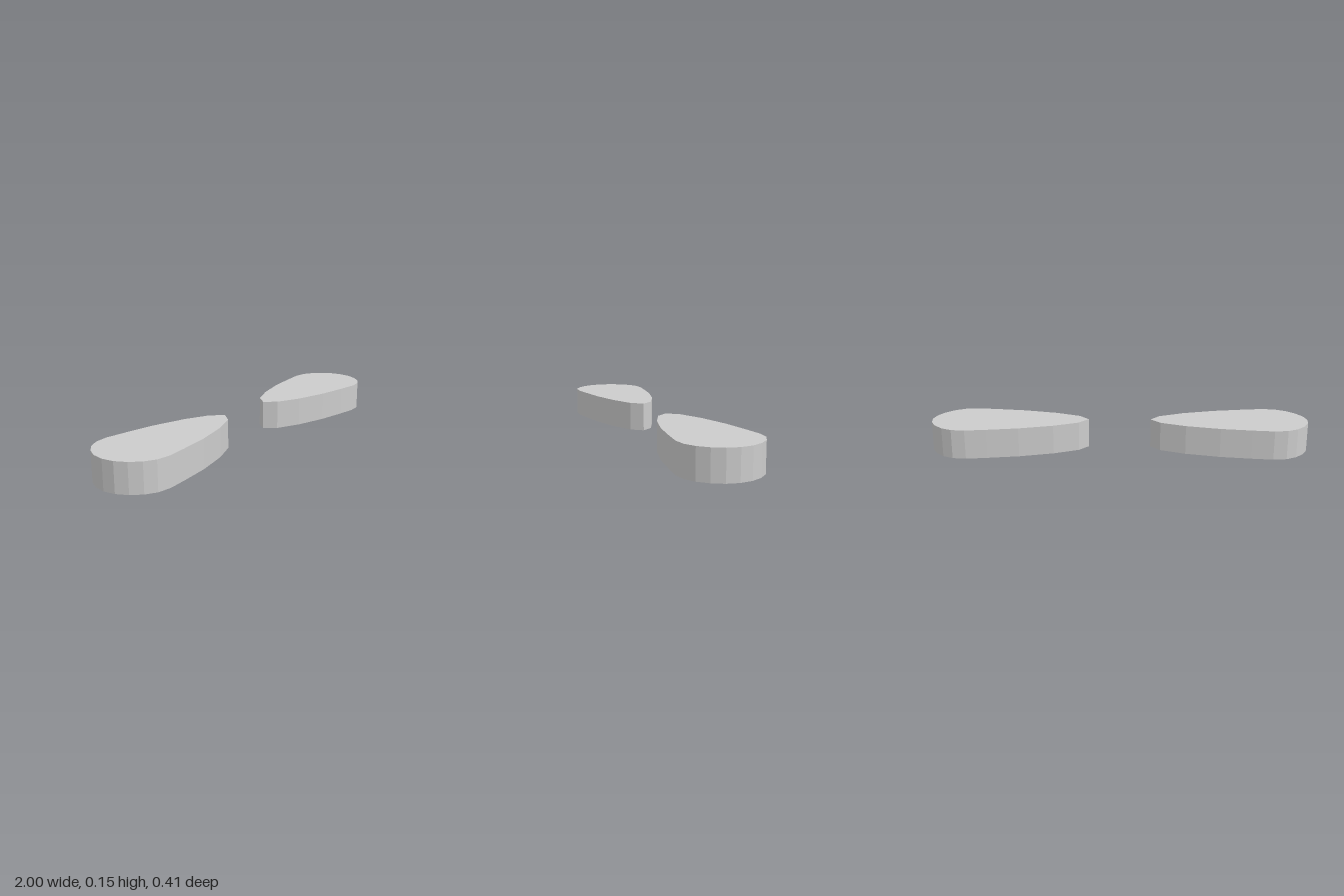
import * as THREE from 'three';

const HEIGHT = 0.152;

// Half outline of one teardrop pad, from the inner tip to the rounded outer end: [x, half width]
const HALF = [
  [0.165, 0], [0.215, 0.061], [0.345, 0.118], [0.52, 0.165], [0.68, 0.19], [0.79, 0.204],
  [0.86, 0.196], [0.915, 0.166], [0.96, 0.119], [0.99, 0.062], [1, 0],
];

// Upright teardrop prism; side is 1 for +x and -1 for -x
function teardrop(side) {
  const mirrored = HALF.slice(1, -1).reverse().map(([x, w]) => [x, -w]);
  const outline = [...HALF, ...mirrored].map(([x, w]) => new THREE.Vector2(side * x, w));
  const geometry = new THREE.ExtrudeGeometry(new THREE.Shape(outline), {
    depth: HEIGHT, bevelEnabled: false,
  });
  return geometry.rotateX(-Math.PI / 2);
}

export function createModel() {
  const model = new THREE.Group();
  model.name = 'teardropPair';
  const material = new THREE.MeshStandardMaterial({ color: 0xcccccc, flatShading: true });

  for (const [name, side] of [['leftTeardrop', 1], ['rightTeardrop', -1]]) {
    const mesh = new THREE.Mesh(teardrop(side), material);
    mesh.name = name;
    model.add(mesh);
  }
  return model;
}
